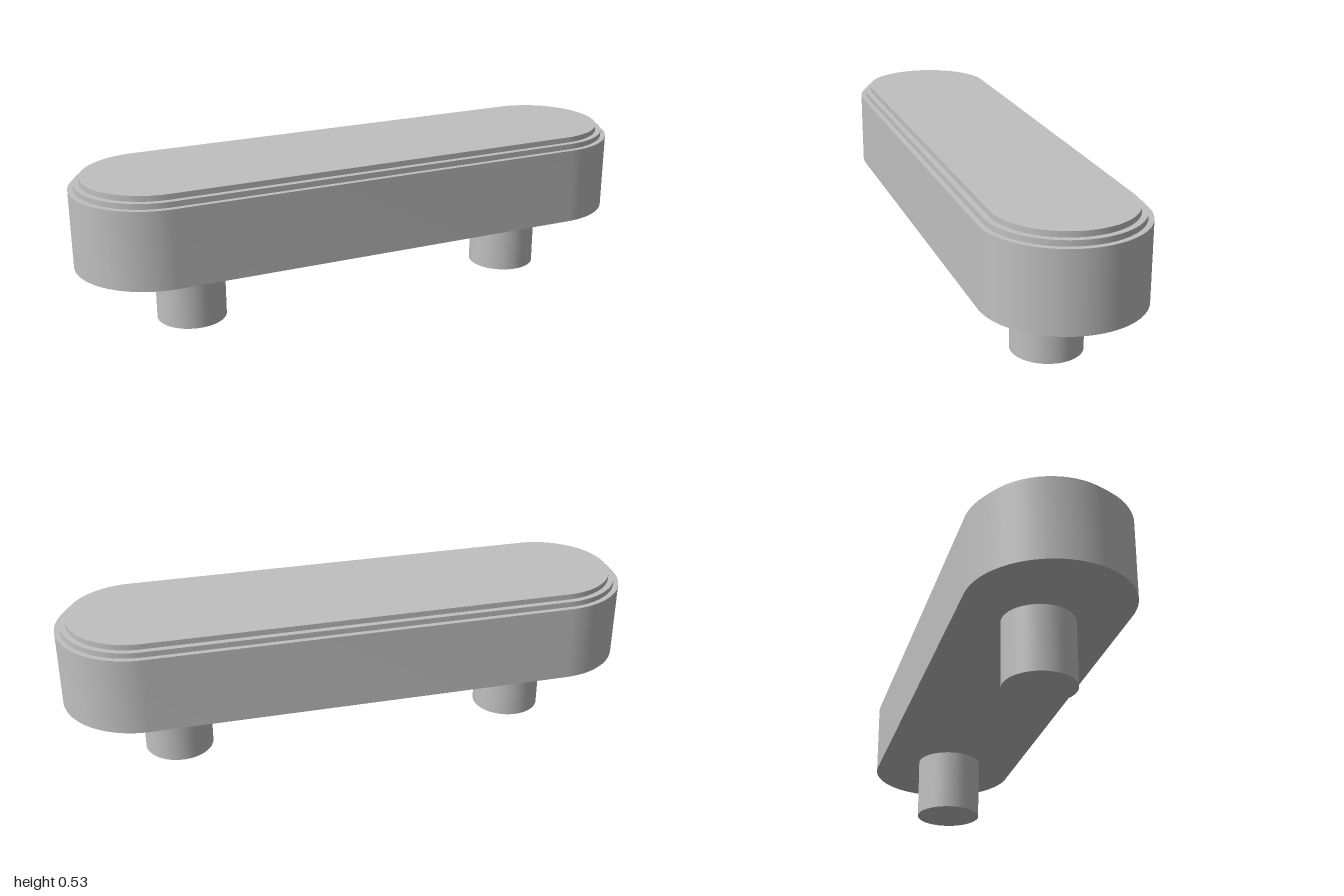
import * as THREE from 'three';
import { toCreasedNormals } from 'three/addons/utils/BufferGeometryUtils.js';

const END_X = 0.732; // centre of the rounded ends

// Upright slab with semicircular ends
function roundEndedSlab(radius, bottom, top) {
  const shape = new THREE.Shape();
  shape.moveTo(-END_X, -radius);
  shape.lineTo(END_X, -radius);
  shape.absarc(END_X, 0, radius, -Math.PI / 2, Math.PI / 2, false);
  shape.lineTo(-END_X, radius);
  shape.absarc(-END_X, 0, radius, Math.PI / 2, Math.PI * 1.5, false);
  const geometry = new THREE.ExtrudeGeometry(shape, {
    depth: top - bottom, bevelEnabled: false, curveSegments: 32,
  });
  geometry.rotateX(-Math.PI / 2);
  geometry.translate(0, bottom, 0);
  return toCreasedNormals(geometry, Math.PI / 6);
}

export function createModel() {
  const model = new THREE.Group();
  const grey = new THREE.MeshStandardMaterial({ color: 0xc0c0c0 });
  grey.name = 'light grey';

  const add = (name, geometry) => {
    const mesh = new THREE.Mesh(geometry, grey);
    mesh.name = name;
    model.add(mesh);
    return mesh;
  };

  // Body with two shallow steps on top
  add('body', roundEndedSlab(0.268, 0.224, 0.493));
  add('lowerStep', roundEndedSlab(0.25, 0.493, 0.512));
  add('upperStep', roundEndedSlab(0.23, 0.512, 0.531));

  // Two round pegs underneath
  for (const [name, side] of [['leftPeg', 1], ['rightPeg', -1]]) {
    const peg = add(name, new THREE.CylinderGeometry(0.119, 0.119, 0.224, 48));
    peg.position.set(side * 0.616, 0.112, 0);
  }
  return model;
}
